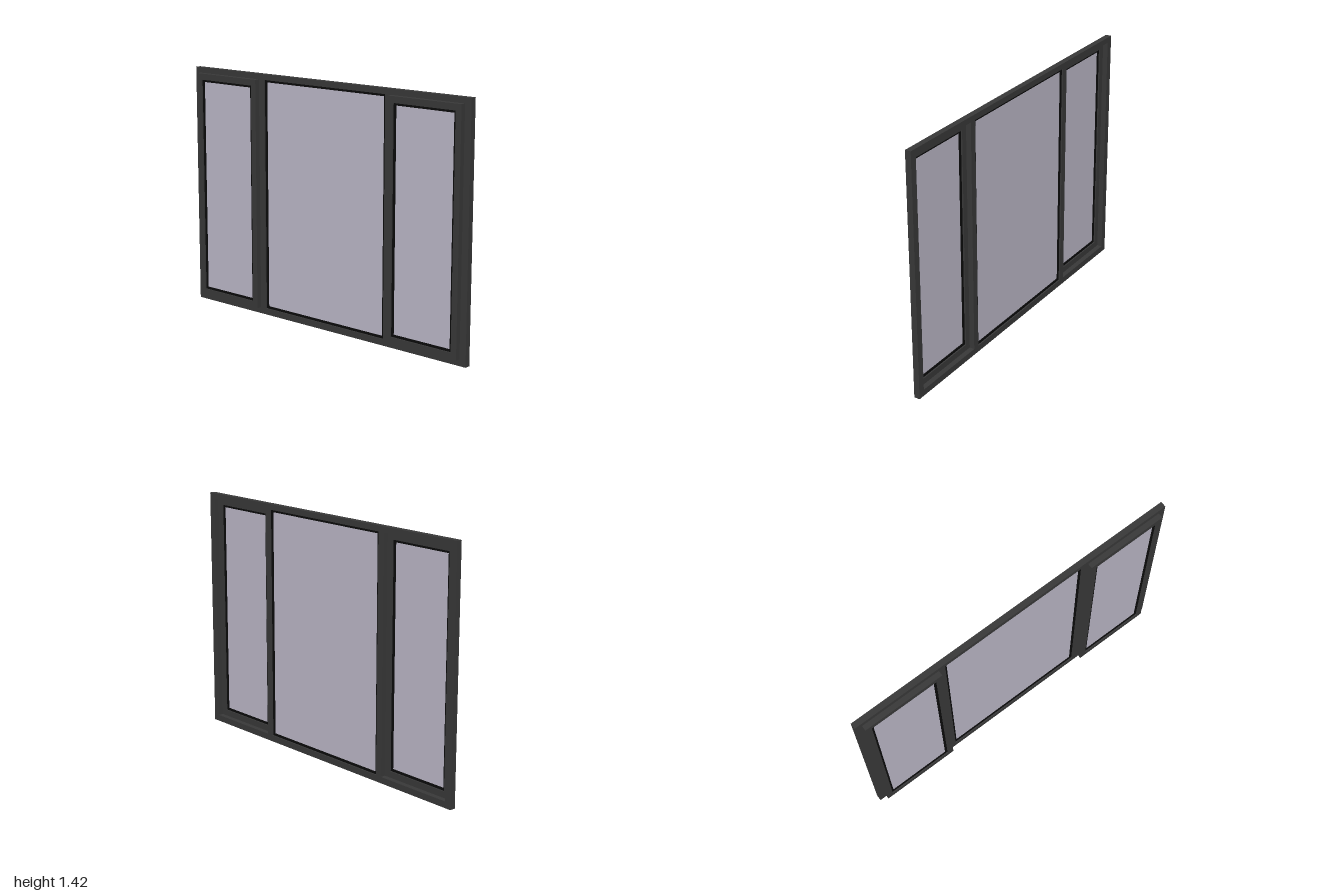
import * as THREE from 'three';

const frameMat = new THREE.MeshStandardMaterial({ color: 0x383838 });
const gasketMat = new THREE.MeshStandardMaterial({ color: 0x0a0a0a });
const glassMat = new THREE.MeshStandardMaterial({ color: 0xbab6c6 });

// Rectangles are given as [x0, y0, x1, y1]
function trace(path, [x0, y0, x1, y1]) {
  path.moveTo(x0, y0);
  path.lineTo(x1, y0);
  path.lineTo(x1, y1);
  path.lineTo(x0, y1);
  path.closePath();
  return path;
}

// Flat plate with rectangular openings, between two depths
function plate(name, outer, holes, z0, z1, material) {
  const shape = trace(new THREE.Shape(), outer);
  for (const h of holes) shape.holes.push(trace(new THREE.Path(), h));
  const geometry = new THREE.ExtrudeGeometry(shape, { depth: z1 - z0, bevelEnabled: false });
  geometry.translate(0, 0, z0);
  const mesh = new THREE.Mesh(geometry, material);
  mesh.name = name;
  return mesh;
}

const inset = ([x0, y0, x1, y1], d) => [x0 + d, y0 + d, x1 - d, y1 - d];
const mirror = ([x0, y0, x1, y1]) => [-x1, y0, -x0, y1];

// Glass pane held by a recessed black gasket, centred on depth z
function glazing(name, opening, z) {
  const group = new THREE.Group();
  group.name = name;
  const pane = inset(opening, 0.013);
  group.add(
    plate('gasket', opening, [pane], z - 0.009, z + 0.009, gasketMat),
    plate('glass', inset(opening, 0.012), [], z - 0.003, z + 0.003, glassMat),
  );
  return group;
}

export function createModel() {
  const model = new THREE.Group();
  model.name = 'window';

  const back = -0.032, mid = 0.002, front = 0.032;
  const centre = [-0.443, 0.037, 0.443, 1.388];
  const side = [0.483, 0.037, 0.96, 1.388];

  // Fixed outer frame with two mullions
  model.add(plate('outerFrame', [-1, 0, 1, 1.42], [mirror(side), centre, side], back, mid, frameMat));
  model.add(glazing('centrePane', centre, (back + mid) / 2));

  // Opening sashes, standing proud of the frame
  for (const [name, rect] of [['leftSash', side], ['rightSash', mirror(side)]]) {
    const sash = new THREE.Group();
    sash.name = name;
    const opening = inset(rect, 0.036);
    sash.add(plate('sashFrame', rect, [opening], mid - 0.004, front, frameMat));
    sash.add(glazing('sidePane', opening, (mid - 0.004 + front) / 2));
    model.add(sash);
  }
  return model;
}
